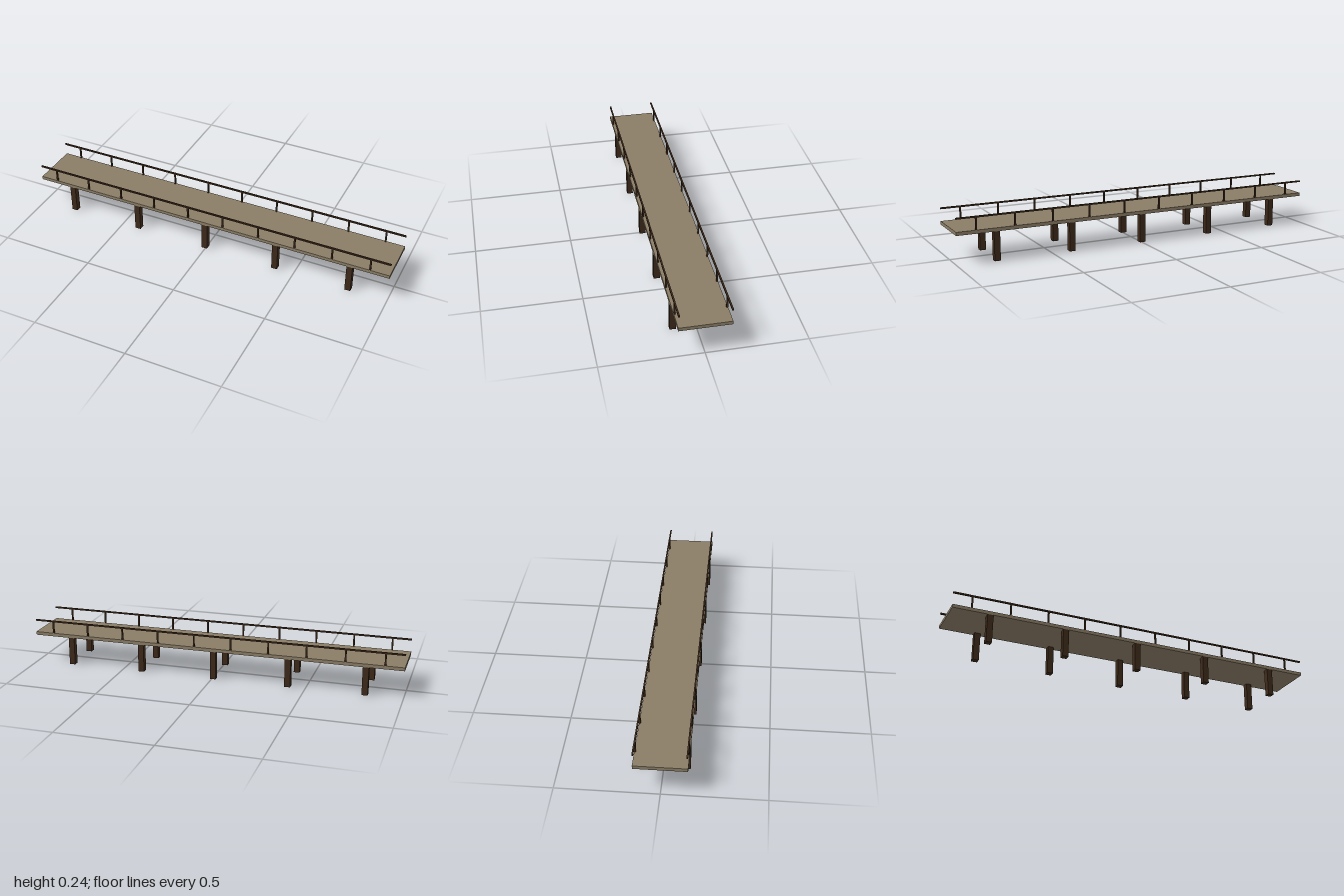
import * as THREE from 'three';

const deckWood = new THREE.MeshStandardMaterial({ color: 0x8b7d66 });
const darkWood = new THREE.MeshStandardMaterial({ color: 0x3e2a1a });

const WIDTH = 0.256;
const DECK_BOTTOM = 0.15;
const DECK_TOP = 0.168;
const RAIL_TOP = 0.238;

export function createModel() {
  const pier = new THREE.Group();
  pier.name = 'pier';

  function box(name, material, size, position) {
    const mesh = new THREE.Mesh(new THREE.BoxGeometry(...size), material);
    mesh.name = name;
    mesh.position.set(...position);
    pier.add(mesh);
  }

  // Deck of five equal sections laid end to end
  const deckHeight = DECK_TOP - DECK_BOTTOM;
  for (let i = 0; i < 5; i++) {
    box('deckSection', deckWood, [0.4, deckHeight, WIDTH],
      [-0.8 + i * 0.4, DECK_BOTTOM + deckHeight / 2, 0]);
  }

  // Piles, railing posts and handrail, flush with the deck on both edges
  const pile = 0.031, post = 0.008, rail = 0.008;
  for (const side of [1, -1]) {
    const edge = (depth) => side * (WIDTH - depth) / 2;

    for (let i = 0; i < 5; i++) {
      box('pile', darkWood, [pile, DECK_BOTTOM, pile],
        [-0.806 + i * 0.4, DECK_BOTTOM / 2, edge(pile)]);
    }

    const postHeight = RAIL_TOP - rail - DECK_TOP;
    for (let i = 0; i < 10; i++) {
      box('railingPost', darkWood, [post, postHeight, post],
        [-0.902 + i * 0.2, DECK_TOP + postHeight / 2, edge(post)]);
    }

    box('handrail', darkWood, [2, rail, rail], [0, RAIL_TOP - rail / 2, edge(rail)]);
  }

  return pier;
}
